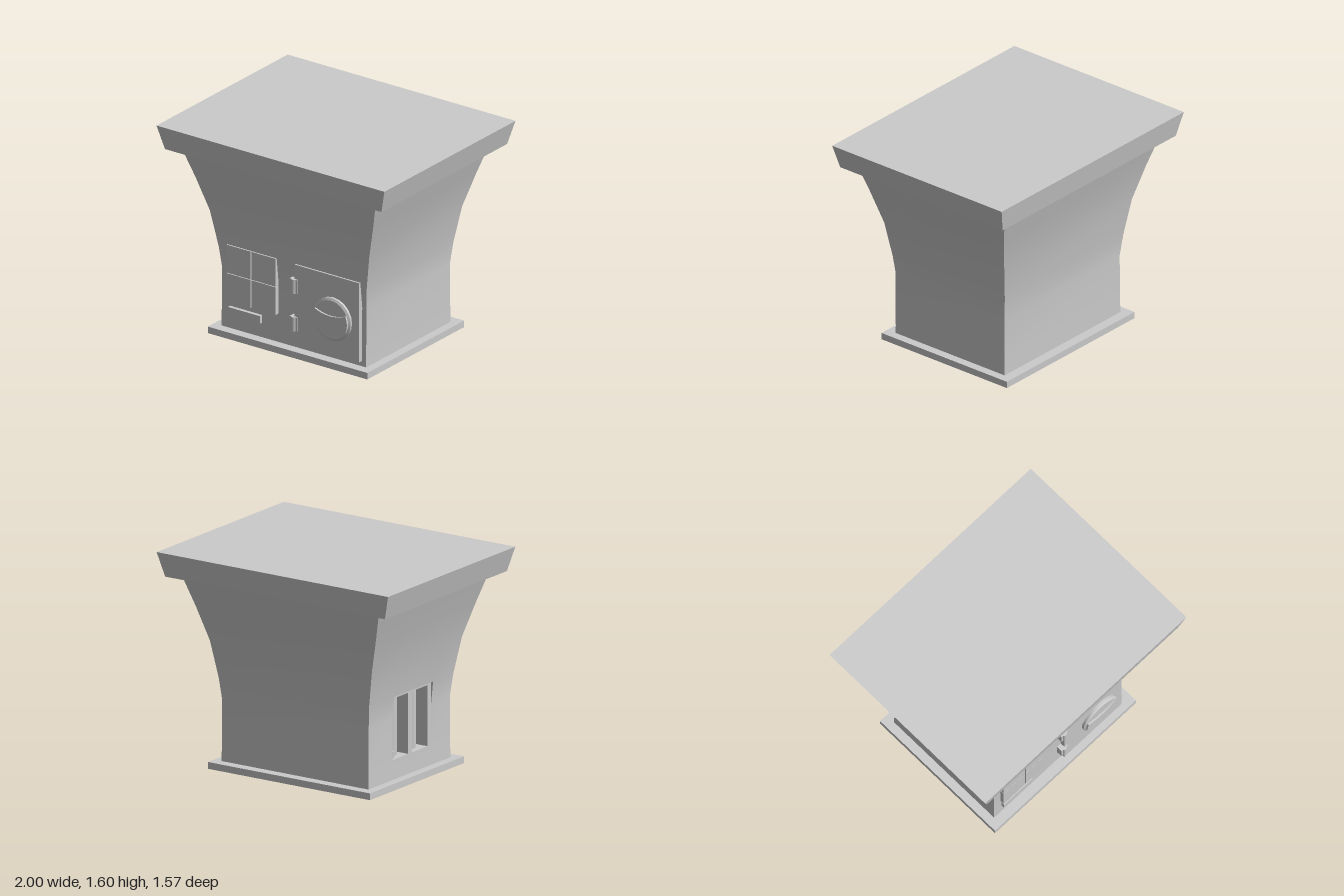
import * as THREE from 'three';

const material = new THREE.MeshStandardMaterial({ color: 0xcccccc, side: THREE.DoubleSide });

// height, half width in x, half depth in z of the flaring body
const PROFILE = [
  [0.05, 0.635, 0.505], [0.165, 0.634, 0.503], [0.5, 0.633, 0.5], [0.665, 0.65, 0.519],
  [0.94, 0.7, 0.556], [1.2, 0.78, 0.62], [1.42, 0.85, 0.685],
];
// side opening, measured along z and y
const HOLE = { left: -0.21, right: 0.27, bottom: 0.165, top: 0.665 };

function add(parent, name, geometry, x = 0, y = 0, z = 0) {
  const mesh = new THREE.Mesh(geometry, material);
  mesh.name = name;
  mesh.position.set(x, y, z);
  parent.add(mesh);
  return mesh;
}

function box(parent, name, x0, x1, y0, y1, z0, z1) {
  return add(parent, name, new THREE.BoxGeometry(x1 - x0, y1 - y0, z1 - z0),
    (x0 + x1) / 2, (y0 + y1) / 2, (z0 + z1) / 2);
}

// One curved wall facing +z, smooth upwards, with an optional opening
function wallGeometry(wide, far, hole) {
  const positions = [], index = [];
  const columns = hole ? 4 : 2;
  for (const row of PROFILE) {
    const w = row[wide];
    const xs = hole ? [-w, hole.left, hole.right, w] : [-w, w];
    for (const x of xs) positions.push(x, row[0], row[far]);
  }
  for (let r = 0; r < PROFILE.length - 1; r++) {
    const y = (PROFILE[r][0] + PROFILE[r + 1][0]) / 2;
    for (let c = 0; c < columns - 1; c++) {
      if (hole && c === 1 && y > hole.bottom && y < hole.top) continue;
      const a = r * columns + c, d = a + columns;
      index.push(a, a + 1, d + 1, a, d + 1, d);
    }
  }
  const g = new THREE.BufferGeometry();
  g.setAttribute('position', new THREE.Float32BufferAttribute(positions, 3));
  g.setIndex(index);
  g.computeVertexNormals();
  return g;
}

// Box whose upper face is wider than its lower one
function taperedBox(x0, z0, x1, z1, h) {
  const g = new THREE.BoxGeometry(2, h, 2);
  const p = g.attributes.position;
  for (let i = 0; i < p.count; i++) {
    const up = p.getY(i) > 0;
    p.setX(i, p.getX(i) * (up ? x1 : x0));
    p.setZ(i, p.getZ(i) * (up ? z1 : z0));
  }
  g.computeVertexNormals();
  return g;
}

function rectangle(target, x0, x1, y0, y1) {
  target.moveTo(x0, y0);
  target.lineTo(x1, y0);
  target.lineTo(x1, y1);
  target.lineTo(x0, y1);
  target.closePath();
  return target;
}

function buildDoor() {
  const door = new THREE.Group();
  door.name = 'door';
  box(door, 'doorPanel', 0.03, 0.597, 0.09, 0.7, 0.48, 0.537);

  for (const y of [0.245, 0.535]) {
    const barrel = add(door, 'hingeBarrel',
      new THREE.CylinderGeometry(0.02, 0.02, 0.11, 10), 0.025, y, 0.54);
    barrel.material = material;
    box(door, 'hingePlate', -0.007, 0.057, y - 0.054, y + 0.054, 0.49, 0.547);
  }

  // Round dial with a bevelled edge
  const dial = new THREE.Group();
  dial.name = 'dial';
  dial.position.set(0.37, 0.37, 0.53);
  const rim = new THREE.CylinderGeometry(0.165, 0.165, 0.024, 20).rotateX(Math.PI / 2);
  add(dial, 'dialRim', rim, 0, 0, 0.012);
  const face = new THREE.CylinderGeometry(0.148, 0.165, 0.011, 20).rotateX(Math.PI / 2);
  add(dial, 'dialFace', face, 0, 0, 0.0295);

  // Waisted grip across the dial
  const grip = new THREE.Shape();
  grip.moveTo(-0.135, 0.062);
  grip.quadraticCurveTo(0, 0.002, 0.135, 0.062);
  grip.quadraticCurveTo(0.162, 0, 0.135, -0.068);
  grip.quadraticCurveTo(0, -0.018, -0.135, -0.068);
  grip.quadraticCurveTo(-0.162, 0, -0.135, 0.062);
  add(dial, 'dialGrip',
    new THREE.ExtrudeGeometry(grip, { depth: 0.03, bevelEnabled: false, curveSegments: 10 }),
    0, 0, 0.018);
  door.add(dial);
  return door;
}

function buildWindow() {
  const panel = new THREE.Group();
  panel.name = 'window';
  const gap = 0.003;
  for (const [x0, x1] of [[-0.57, -0.353 - gap], [-0.353 + gap, -0.137]]) {
    for (const [y0, y1] of [[0.267, 0.483 - gap], [0.483 + gap, 0.7]]) {
      box(panel, 'windowPane', x0, x1, y0, y1, 0.48, 0.535);
    }
  }
  box(panel, 'windowBacking', -0.565, -0.142, 0.272, 0.695, 0.48, 0.526);
  box(panel, 'windowLedge', -0.56, -0.28, 0.16, 0.22, 0.48, 0.53);
  return panel;
}

// Recessed side bay, built facing +z
function buildBay() {
  const bay = new THREE.Group();
  bay.name = 'sideBay';
  const { left, right, bottom, top } = HOLE;
  const middle = (left + right) / 2;

  const frame = rectangle(new THREE.Shape(), left - 0.02, right + 0.02, bottom - 0.02, top + 0.02);
  frame.holes.push(rectangle(new THREE.Path(), left + 0.025, right - 0.025, bottom + 0.025, top - 0.025));
  add(bay, 'bayFrame', new THREE.ExtrudeGeometry(frame, { depth: 0.13, bevelEnabled: false }), 0, 0, 0.49);
  box(bay, 'bayBack', left, right, bottom, top, 0.48, 0.5);
  box(bay, 'bayPost', middle - 0.025, middle + 0.025, bottom, top, 0.49, 0.62);

  // A standing tube and a small peg in each half
  for (const side of [-1, 1]) {
    const x = middle + side * 0.12;
    add(bay, 'bayTube', new THREE.CylinderGeometry(0.065, 0.065, top - bottom - 0.04, 16),
      x, (top + bottom) / 2, 0.51);
    const peg = new THREE.CylinderGeometry(0.018, 0.018, 0.05, 10);
    add(bay, 'bayPeg', peg, x - 0.06, side < 0 ? bottom + 0.05 : top - 0.05, 0.585);
  }
  bay.rotation.y = -Math.PI / 2;
  return bay;
}

export function createModel() {
  const model = new THREE.Group();
  model.name = 'kiosk';

  box(model, 'basePlate', -0.7, 0.7, 0, 0.05, -0.58, 0.58);

  // Four flaring walls
  const body = new THREE.Group();
  body.name = 'body';
  add(body, 'frontWall', wallGeometry(1, 2));
  add(body, 'backWall', wallGeometry(1, 2)).rotation.y = Math.PI;
  add(body, 'leftWall', wallGeometry(2, 1)).rotation.y = Math.PI / 2;
  add(body, 'rightWall', wallGeometry(2, 1, HOLE)).rotation.y = -Math.PI / 2;
  model.add(body);

  add(model, 'roofSlab', taperedBox(0.95, 0.752, 1, 0.785, 0.18), 0, 1.505, 0);

  model.add(buildDoor(), buildWindow(), buildBay());
  return model;
}
